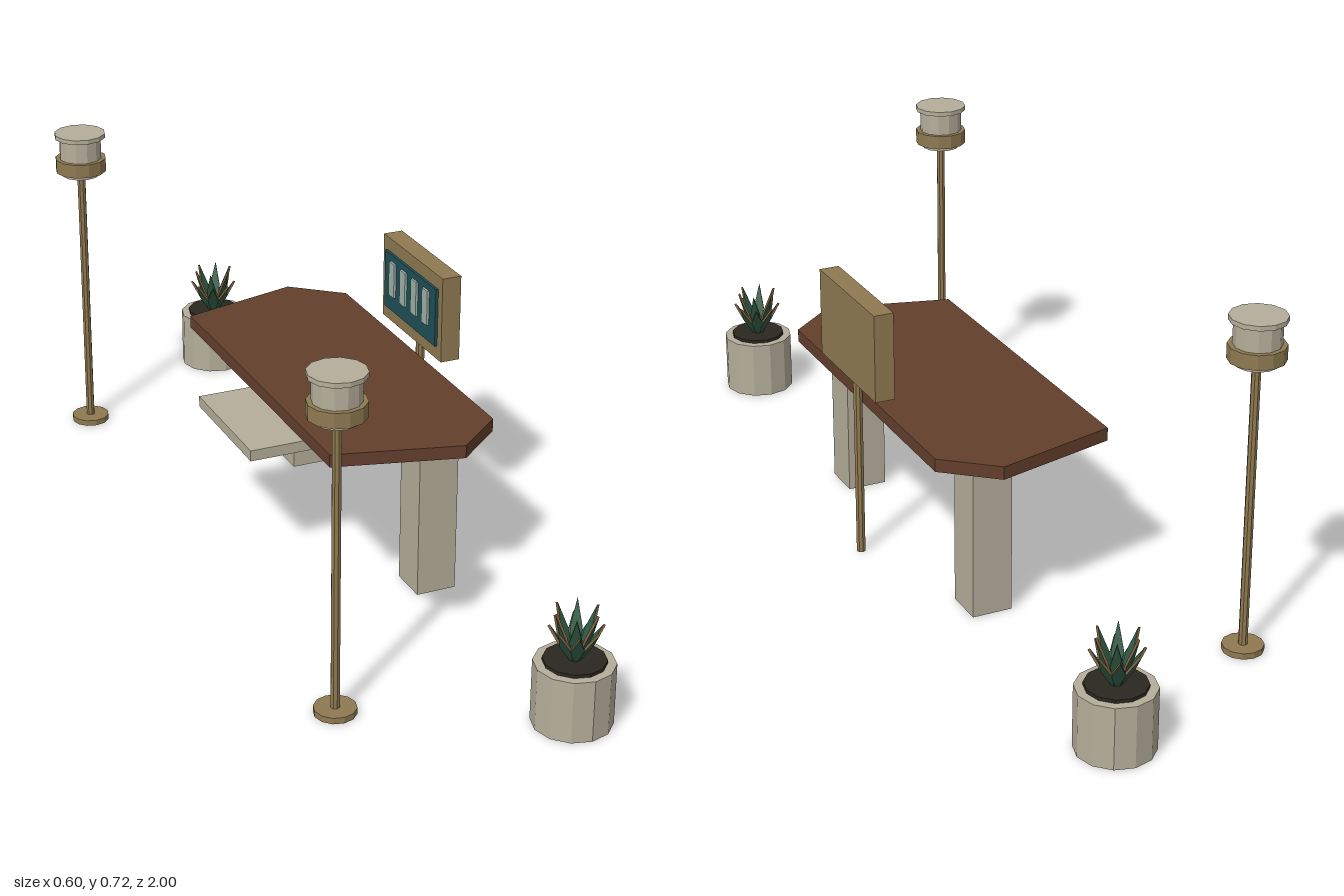
import * as THREE from 'three';

const mat = (name, color, flatShading = true) => {
  const m = new THREE.MeshStandardMaterial({ color });
  m.name = name;
  m.flatShading = flatShading;
  return m;
};

export function createModel() {
  const wood = mat('dark wood', 0x633f2c);
  const stone = mat('pale stone', 0xb5ae9a);
  const brass = mat('aged brass', 0x8f7a51);
  const teal = mat('teal panel', 0x1f4f58);
  const pale = mat('pale display', 0x9fb3aa);
  const soil = mat('soil', 0x2b2720);
  const green = mat('leaf green', 0x2f5a44);
  const rim = mat('leaf edge', 0x7a5b3c);

  const model = new THREE.Group();
  model.name = 'deskSet';

  const add = (parent, name, geo, material, x = 0, y = 0, z = 0) => {
    const mesh = new THREE.Mesh(geo, material);
    mesh.name = name;
    mesh.position.set(x, y, z);
    parent.add(mesh);
    return mesh;
  };
  // Box from its lower and upper limits
  const box = (parent, name, material, [x0, x1], [y0, y1], [z0, z1]) =>
    add(parent, name, new THREE.BoxGeometry(x1 - x0, y1 - y0, z1 - z0), material,
      (x0 + x1) / 2, (y0 + y1) / 2, (z0 + z1) / 2);
  // Upright faceted cylinder from its bottom and top heights
  const drum = (parent, name, material, r, y0, y1, sides = 12) =>
    add(parent, name, new THREE.CylinderGeometry(r, r, y1 - y0, sides), material, 0, (y0 + y1) / 2, 0);
  const polygon = pts => new THREE.Shape(pts.map(([x, y]) => new THREE.Vector2(x, y)));

  // Desk: six-sided top, two legs and a low shelf
  const desk = new THREE.Group();
  desk.name = 'desk';
  model.add(desk);
  const topGeo = new THREE.ExtrudeGeometry(polygon([
    [-0.108, -0.382], [0.16, -0.453], [0.267, -0.363],
    [0.267, 0.363], [0.16, 0.453], [-0.108, 0.382],
  ]), { depth: 0.028, bevelEnabled: false }).rotateX(Math.PI / 2);
  add(desk, 'deskTop', topGeo, wood, 0, 0.373, 0);
  for (const s of [-1, 1]) {
    const zs = [s * 0.28, s * 0.368].sort((a, b) => a - b);
    box(desk, s > 0 ? 'frontLeg' : 'backLeg', stone, [0.1, 0.187], [0, 0.345], zs);
  }
  box(desk, 'lowShelf', stone, [-0.181, 0.148], [0.265, 0.289], [-0.146, 0.146]);

  // Display on a post, its face turned to the right side of the desk
  const display = new THREE.Group();
  display.name = 'display';
  model.add(display);
  drum(display, 'displayPost', brass, 0.01, 0, 0.412, 8).position.x = 0.278;
  box(display, 'displayCase', brass, [0.256, 0.299], [0.41, 0.6], [-0.143, 0.143]);
  box(display, 'displayPanel', teal, [0.25, 0.256], [0.44, 0.57], [-0.124, 0.124]);
  for (let i = 0; i < 4; i++) {
    const z = (i - 1.5) * 0.054;
    box(display, 'displayBar', pale, [0.245, 0.25], [0.477, 0.555], [z - 0.013, z + 0.013]);
  }

  // Standing lamps
  for (const s of [-1, 1]) {
    const lamp = new THREE.Group();
    lamp.name = s > 0 ? 'frontLamp' : 'backLamp';
    lamp.position.set(-0.243, 0, s * 0.713);
    model.add(lamp);
    drum(lamp, 'lampBase', brass, 0.043, 0, 0.013);
    drum(lamp, 'lampPole', brass, 0.0095, 0.013, 0.62, 8);
    drum(lamp, 'lampCollar', stone, 0.043, 0.62, 0.631);
    drum(lamp, 'lampRing', brass, 0.058, 0.63, 0.661);
    drum(lamp, 'lampShade', stone, 0.048, 0.661, 0.711);
    drum(lamp, 'lampCap', stone, 0.058, 0.71, 0.72);
  }

  // One pointed leaf: green faces with a brown edge, leaning outward
  const leafGeo = (length, width, tilt) => new THREE.ExtrudeGeometry(polygon([
    [-width * 0.2, 0], [width * 0.2, 0], [width * 0.5, length * 0.5],
    [0, length], [-width * 0.5, length * 0.5],
  ]), { depth: 0.005, bevelEnabled: false })
    .translate(0, 0, -0.0025).rotateX(tilt).translate(0, 0, 0.008);
  const rings = [
    { count: 8, geo: leafGeo(0.087, 0.026, 0.54), turn: Math.PI / 8 },
    { count: 6, geo: leafGeo(0.114, 0.024, 0.33), turn: Math.PI / 6 },
  ];

  // Potted plants
  for (const s of [-1, 1]) {
    const plant = new THREE.Group();
    plant.name = s > 0 ? 'frontPlant' : 'backPlant';
    plant.position.set(0.158, 0, s * 0.92);
    model.add(plant);
    drum(plant, 'pot', stone, 0.08, 0, 0.131);
    drum(plant, 'soil', soil, 0.062, 0.131, 0.138);
    for (const { count, geo, turn } of rings) {
      for (let i = 0; i < count; i++) {
        const leaf = add(plant, 'leaf', geo, [green, rim], 0, 0.136, 0);
        leaf.rotation.y = turn + (i / count) * Math.PI * 2;
      }
    }
  }

  return model;
}
